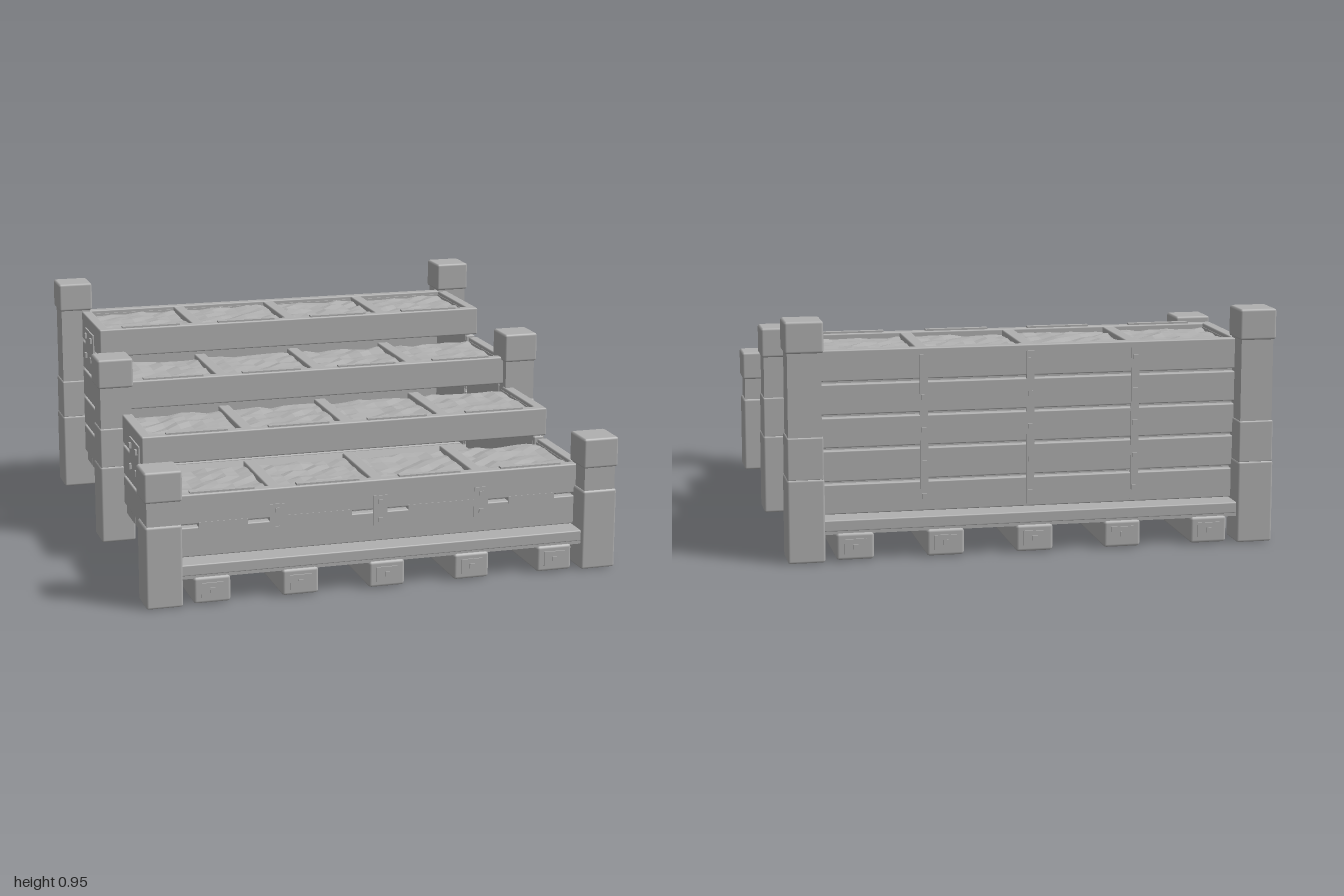
import * as THREE from 'three';
import { RoundedBoxGeometry } from 'three/addons/geometries/RoundedBoxGeometry.js';

export function createModel() {
  const model = new THREE.Group();
  model.name = 'steppedPlanter';
  const grey = new THREE.MeshStandardMaterial({ color: 0xb0b0b0 });

  // Box given by its extents on each axis; a bevel above zero softens the edges
  function box(name, [x0, x1], [y0, y1], [z0, z1], bevel = 0, parent = model) {
    const w = x1 - x0, h = y1 - y0, d = z1 - z0;
    const geo = bevel ? new RoundedBoxGeometry(w, h, d, 1, bevel) : new THREE.BoxGeometry(w, h, d);
    const mesh = new THREE.Mesh(geo, grey);
    mesh.name = name;
    mesh.position.set((x0 + x1) / 2, (y0 + y1) / 2, (z0 + z1) / 2);
    parent.add(mesh);
    return mesh;
  }
  const around = (c, half) => [c - half, c + half];

  let seed = 11;
  const random = () => (seed = (seed * 16807) % 2147483647) / 2147483647;

  // Pallet runners with a bolted plate on each end
  for (const x of [-0.72, -0.36, 0, 0.36, 0.72]) {
    box('runner', around(x, 0.075), [0.005, 0.113], [-0.98, 0.98], 0.012);
    for (const s of [-1, 1]) {
      box('runnerEndPlate', around(x, 0.045), [0.03, 0.09], around(s * 0.981, 0.005));
      box('runnerBolt', around(x, 0.01), [0.05, 0.07], around(s * 0.986, 0.006));
    }
  }

  // Deck boards across the runners
  const boards = 8, pitch = 1.96 / boards;
  for (let i = 0; i < boards; i++) {
    const z = -0.98 + (i + 0.5) * pitch;
    box('deckBoard', [-0.875, 0.875], [0.12, 0.165], around(z, pitch / 2 - 0.008), 0.005);
  }
  for (const z of [-0.93, -0.45, 0, 0.45, 0.93])
    box('deckBatten', [-0.86, 0.86], [0.108, 0.122], around(z, 0.04));

  // Corner and middle posts: flared base, slimmer shaft, cap
  for (const [z, top] of [[0.912, 0.555], [0, 0.8], [-0.912, 0.955]]) {
    for (const s of [-1, 1]) {
      const post = new THREE.Group();
      post.name = 'post';
      model.add(post);
      const x = s * 0.912;
      box('postBase', around(x, 0.074), [0, 0.335], around(z, 0.074), 0.01, post);
      box('postShaft', around(x, 0.066), [0.3, top - 0.1], around(z, 0.066), 0, post);
      if (top > 0.6) box('postCollar', around(x, 0.071), [0.33, 0.5], around(z, 0.071), 0.006, post);
      box('postCap', around(x, 0.076), [top - 0.125, top], around(z, 0.076), 0.01, post);
    }
  }

  // Plank rows shared by all walls
  const rows = [[0.17, 0.29], [0.302, 0.425], [0.437, 0.557], [0.569, 0.69], [0.702, 0.825]];
  const fronts = [0.885, 0.46, 0.03, -0.41, -0.845];
  const plateZ = [0.655, 0.325, -0.325, -0.645];

  for (let tier = 0; tier < 4; tier++) {
    const front = fronts[tier], next = fronts[tier + 1];
    const top = rows[tier + 1][1];
    const gap = (rows[tier][1] + rows[tier + 1][0]) / 2;

    // Riser board and the thin strips on its rim
    box('riser', [-0.885, 0.885], rows[tier + 1], [front - 0.045, front], 0.006);
    for (const x of [-0.65, -0.215, 0.215, 0.65])
      box('rimStrip', around(x, 0.13), [top - 0.002, top + 0.007], around(front - 0.024, 0.013));

    // Side walls, with a dark core behind the plank gaps
    for (const s of [-1, 1]) {
      for (let r = 0; r <= tier + 1; r++)
        box('sidePlank', around(s * 0.863, 0.022), rows[r], [next + 0.003, front - 0.03], 0.005);
      box('sideLining', around(s * 0.845, 0.006), [0.165, top - 0.015], [next, front - 0.04]);

      // Four-bolt bracket joining the two top planks
      const z = plateZ[tier];
      box('bracket', around(s * 0.886, 0.005), around(gap, 0.075), around(z, 0.095));
      for (const dy of [-0.045, 0.045])
        for (const dz of [-0.06, 0.06])
          box('bracketBolt', around(s * 0.893, 0.007), around(gap + dy, 0.011), around(z + dz, 0.011));
    }

    // Dividers between the four beds
    for (const x of [-0.43, 0, 0.43])
      box('divider', around(x, 0.025), [top - 0.11, top - 0.003], [next - 0.02, front - 0.04], 0.005);

    // Lumpy soil with flat facets
    const depth = front - next - 0.03;
    const plane = new THREE.PlaneGeometry(1.7, depth, 30, 8).rotateX(-Math.PI / 2);
    const p = plane.attributes.position;
    for (let i = 0; i < p.count; i++) p.setY(i, (random() - 0.5) * 0.014);
    const soilGeo = plane.toNonIndexed();
    soilGeo.computeVertexNormals();
    const soil = new THREE.Mesh(soilGeo, grey);
    soil.name = 'soil';
    soil.position.set(0, top - 0.022, (front + next - 0.03) / 2);
    model.add(soil);
  }

  // Lowest front plank, with flush fillers across the joint
  box('frontPlank', [-0.85, 0.85], rows[0], [0.84, 0.885], 0.005);
  for (const s of [-1, 1]) {
    box('frontFiller', around(s * 0.29, 0.17), [0.28, 0.31], [0.845, 0.887]);
    box('frontFiller', around(s * 0.65, 0.1), [0.28, 0.31], [0.845, 0.887]);
  }
  box('frontLining', [-0.85, 0.85], [0.165, 0.41], [0.835, 0.85]);

  // Back wall planks and lining
  for (const row of rows) box('backPlank', [-0.85, 0.85], row, [-0.89, -0.845], 0.005);
  box('backLining', [-0.85, 0.85], [0.165, 0.81], [-0.86, -0.84]);

  // Bolted seam battens on the back and front walls
  for (const x of [-0.43, 0, 0.43]) {
    box('backBatten', around(x, 0.016), [0.18, 0.8], [-0.896, -0.885]);
    for (const [y0, y1] of rows)
      box('battenBolt', around(x, 0.01), around((y0 + y1) / 2, 0.01), [-0.902, -0.89]);
    box('frontBatten', around(x, 0.03), [0.235, 0.36], [0.88, 0.889]);
    for (const y of [0.26, 0.335])
      box('battenBolt', around(x, 0.009), around(y, 0.009), [0.885, 0.895]);
  }

  return model;
}
